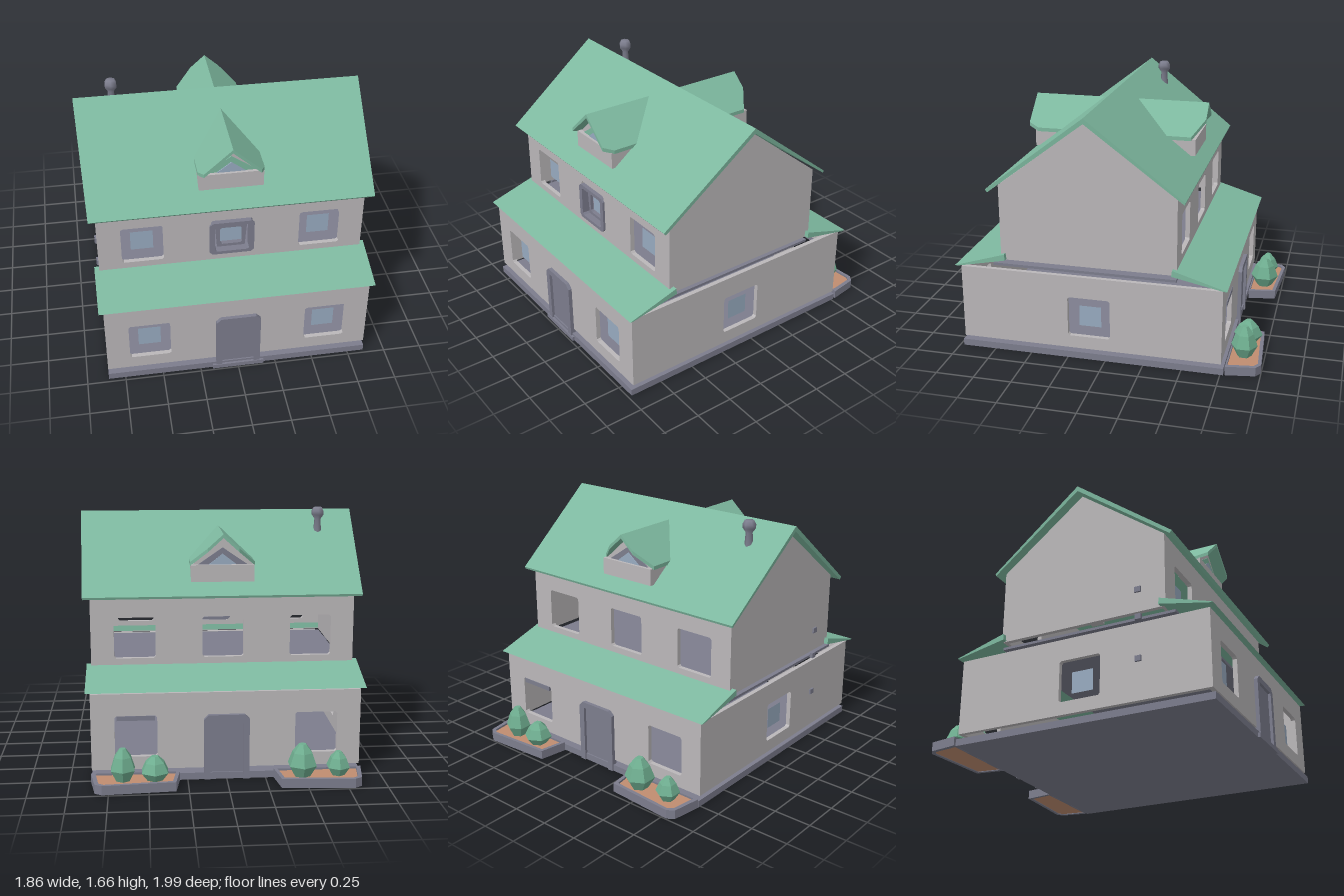
import * as THREE from 'three';

const mat = (name, color, side = THREE.DoubleSide) => {
  const m = new THREE.MeshStandardMaterial({ color, side });
  m.name = name;
  return m;
};

export function createModel() {
  const wall = mat('wall grey', 0xbab7b9);
  const green = mat('roof green', 0x7db89f);
  const leaf = mat('leaf green', 0x6fae90);
  leaf.flatShading = true;
  const slate = mat('slate', 0x7c7d8d);
  const glass = mat('window blue', 0x98abc0, THREE.FrontSide);
  const soil = mat('soil brown', 0xc08d70);

  const house = new THREE.Group();
  house.name = 'house';
  const add = (name, geo, material, parent = house) => {
    const m = new THREE.Mesh(geo, material);
    m.name = name;
    parent.add(m);
    return m;
  };
  const box = (name, x0, x1, y0, y1, z0, z1, material, parent) =>
    add(name, new THREE.BoxGeometry(x1 - x0, y1 - y0, z1 - z0)
      .translate((x0 + x1) / 2, (y0 + y1) / 2, (z0 + z1) / 2), material, parent);
  const poly = (pts) => new THREE.Shape(pts.map(([x, y]) => new THREE.Vector2(x, y)));
  const extrude = (shape, depth) => new THREE.ExtrudeGeometry(shape, { depth, bevelEnabled: false });
  // rectangle with clipped corners
  const rect = (x0, x1, y0, y1, c = 0.012) => poly([
    [x0 + c, y0], [x1 - c, y0], [x1, y0 + c], [x1, y1 - c],
    [x1 - c, y1], [x0 + c, y1], [x0, y1 - c], [x0, y0 + c]]);
  const ring = (outer, inner, depth) => {
    outer.holes.push(inner);
    return extrude(outer, depth);
  };
  // profile given as [z, y], swept along x
  const sweepX = (shape, x0, x1) =>
    extrude(shape, x1 - x0).rotateY(-Math.PI / 2).translate(x1, 0, 0);
  // outline given as [x, z], lifted along y
  const slab = (shape, y0, y1) =>
    extrude(shape, y1 - y0).rotateX(Math.PI / 2).translate(0, y1, 0);

  const T = 0.03, X = 0.86, WX = 0.575, H = 0.135;
  const opening = (c, y0, h = H) => rect(c - h, c + h, y0, y0 + 0.27);

  // Foundation and floor between storeys
  box('foundation', -X, X, 0, 0.045, -0.77, 0.975, slate);
  box('frontStep', -0.17, 0.17, 0, 0.03, 0.97, 0.99, slate);
  box('upperFloor', -0.85, 0.85, 0.6, 0.617, -0.46, 0.74, slate);

  // Front and back walls with window openings
  const longWall = (name, y0, y1, z, holes) => {
    const s = poly([[-X, y0], [X, y0], [X, y1], [-X, y1]]);
    s.holes.push(...holes);
    add(name, extrude(s, T).translate(0, 0, z), wall);
  };
  const lower = () => [-WX, WX].map((x) => opening(x, 0.16));
  const upper = () => [-WX, 0, WX].map((x) => opening(x, 0.73));
  longWall('lowerFrontWall', 0.075, 0.575, 0.96 - T, lower());
  longWall('lowerBackWall', 0.075, 0.575, -0.755, lower());
  longWall('upperFrontWall', 0.65, 1.15, 0.68 - T, upper());
  longWall('upperBackWall', 0.65, 1.15, -0.465, upper());

  // Side walls, the upper ones with gables
  for (const s of [-1, 1]) {
    const x0 = s > 0 ? X - T : -X;
    const low = poly([[-0.755, 0.075], [0.96, 0.075], [0.96, 0.575], [-0.755, 0.575]]);
    low.holes.push(opening(0.105, 0.16, 0.14));
    add('lowerSideWall', sweepX(low, x0, x0 + T), wall);
    const up = poly([[-0.465, 0.65], [0.68, 0.65], [0.68, 1.15], [0.1, 1.595], [-0.465, 1.15]]);
    add('upperSideWall', sweepX(up, x0, x0 + T), wall);
    add('sidePane', new THREE.PlaneGeometry(0.145, 0.14)
      .rotateY(s * Math.PI / 2).translate(s * (X - 0.04), 0.29, 0.105), glass);
  }

  // Front panes
  for (const x of [-WX, WX]) {
    add('lowerPane', new THREE.PlaneGeometry(0.145, 0.14).translate(x, 0.29, 0.91), glass);
    add('upperPane', new THREE.PlaneGeometry(0.145, 0.14).translate(x, 0.862, 0.63), glass);
  }
  add('middlePane', new THREE.PlaneGeometry(0.145, 0.12).translate(0, 0.85, 0.63), glass);

  // Framed middle window and rear lintel
  add('middleWindowFrame', ring(rect(-0.145, 0.145, 0.735, 0.985, 0.02),
    rect(-0.112, 0.112, 0.757, 0.96), 0.06).translate(0, 0, 0.635), slate);
  add('middleWindowSash', ring(poly([[-0.09, 0.765], [0.09, 0.765], [0.105, 0.955], [-0.105, 0.955]]),
    rect(-0.072, 0.072, 0.785, 0.915), 0.02).translate(0, 0, 0.635), slate);
  box('rearLintel', WX - 0.12, WX + 0.12, 0.4, 0.43, -0.76, -0.72, slate);

  // Doors, front and back
  for (const [z, turn] of [[0.96, 0], [-0.755, Math.PI]]) {
    const door = new THREE.Group();
    door.name = turn ? 'backDoor' : 'frontDoor';
    const frame = poly([[-0.145, 0], [-0.105, 0], [-0.105, 0.39], [0.105, 0.39], [0.105, 0],
      [0.145, 0], [0.145, 0.4], [0.115, 0.43], [-0.115, 0.43], [-0.145, 0.4]]);
    add('doorFrame', extrude(frame, 0.04).translate(0, 0, -0.015), slate, door);
    box('doorPanel', -0.105, 0.105, 0, 0.39, -0.01, 0.006, slate, door);
    door.position.z = z;
    door.rotation.y = turn;
    house.add(door);
  }

  // Main roof, slightly wider at the ridge
  const roof = sweepX(poly([[0.75, 1.13], [0.1, 1.632], [-0.52, 1.145], [-0.515, 1.13],
    [0.1, 1.597], [0.735, 1.113]]), -0.93, 0.93);
  const rp = roof.attributes.position;
  for (let i = 0; i < rp.count; i++) rp.setX(i, rp.getX(i) * (0.972 + 0.028 * (rp.getY(i) - 1.13) / 0.5));
  roof.computeVertexNormals();
  add('mainRoof', roof, green);

  // Skirt roofs over the ground floor
  add('frontSkirtRoof', sweepX(poly([[0.99, 0.59], [0.65, 0.695], [0.645, 0.655], [0.97, 0.588]]), -0.89, 0.89), green);
  add('backSkirtRoof', sweepX(poly([[-0.785, 0.59], [-0.44, 0.695], [-0.435, 0.655], [-0.765, 0.588]]), -0.89, 0.89), green);

  // Dormers
  const triangle = (half, y0, y1) => poly([[-half, y0], [half, y0], [0, y1]]);
  const dormer = (name, tipX, shoulderZ, trim) => {
    const g = new THREE.Group();
    g.name = name;
    for (const s of [-1, 1]) {
      const half = poly([[0, 0.7], [s * tipX, 0.7], [s * 0.21, shoulderZ], [s * 0.21, 0.43], [0, 0.21]]);
      const geo = slab(half, -0.025, 0);
      const p = geo.attributes.position;
      for (let i = 0; i < p.count; i++) p.setY(i, p.getY(i) + 1.54 - 0.9 * Math.abs(p.getX(i)));
      geo.computeVertexNormals();
      add('dormerRoof', geo, green, g);
    }
    box('dormerWall', -0.205, 0.205, 1.225, 1.335, 0.49, 0.65, wall, g);
    add('dormerGable', extrude(triangle(0.195, 1.335, 1.512), 0.2).translate(0, 0, 0.42), wall, g);
    add('dormerTrim', extrude(triangle(0.16, 1.335, 1.445), 0.008).translate(0, 0, 0.62), trim, g);
    add('dormerPane', extrude(triangle(0.09, 1.336, 1.405), 0.006).translate(0, 0, 0.628), glass, g);
    house.add(g);
    return g;
  };
  dormer('frontDormer', 0.18, 0.63, green);
  const rear = dormer('backDormer', 0.1, 0.62, slate);
  rear.rotation.y = Math.PI;
  rear.position.z = 0.2;

  // Chimney pot
  const lathe = (pts, n) => new THREE.LatheGeometry(pts.map(([x, y]) => new THREE.Vector2(x, y)), n);
  add('chimney', lathe([[0.03, 1.48], [0.022, 1.58], [0.043, 1.61], [0.043, 1.635], [0.03, 1.66], [0, 1.66]], 6)
    .translate(-0.68, 0, -0.05), slate);

  // Small lamps on the side wall
  for (const y of [0.34, 0.615, 0.8]) box('wallLamp', -0.872, -0.85, y - 0.018, y + 0.018, 0.48, 0.52, slate);

  // Rear planters with bushes
  for (const s of [-1, 1]) {
    const outline = poly([[0.3, -0.78], [0.865, -0.78], [0.835, -0.97], [0.79, -1], [0.33, -0.97]]
      .map(([x, z]) => [s * x, z]));
    const bed = [[0.325, -0.79], [0.835, -0.79], [0.812, -0.955], [0.78, -0.978], [0.35, -0.948]]
      .map(([x, z]) => [s * x, z]);
    add('planterRim', slab((outline.holes.push(poly(bed)), outline), 0.005, 0.065), slate);
    add('planterSoil', slab(poly(bed), 0.01, 0.052), soil);
  }
  for (const [x, r, h] of [[-0.7, 0.078, 0.155], [-0.47, 0.098, 0.21], [0.46, 0.095, 0.155], [0.66, 0.085, 0.21]]) {
    add('bush', lathe([[0, 0], [0.55, 0], [1, 0.36], [0.68, 0.75], [0.25, 1], [0, 1]]
      .map(([a, b]) => [a * r, 0.05 + b * h]), 6).translate(x, 0, -0.875), leaf);
  }
  return house;
}
